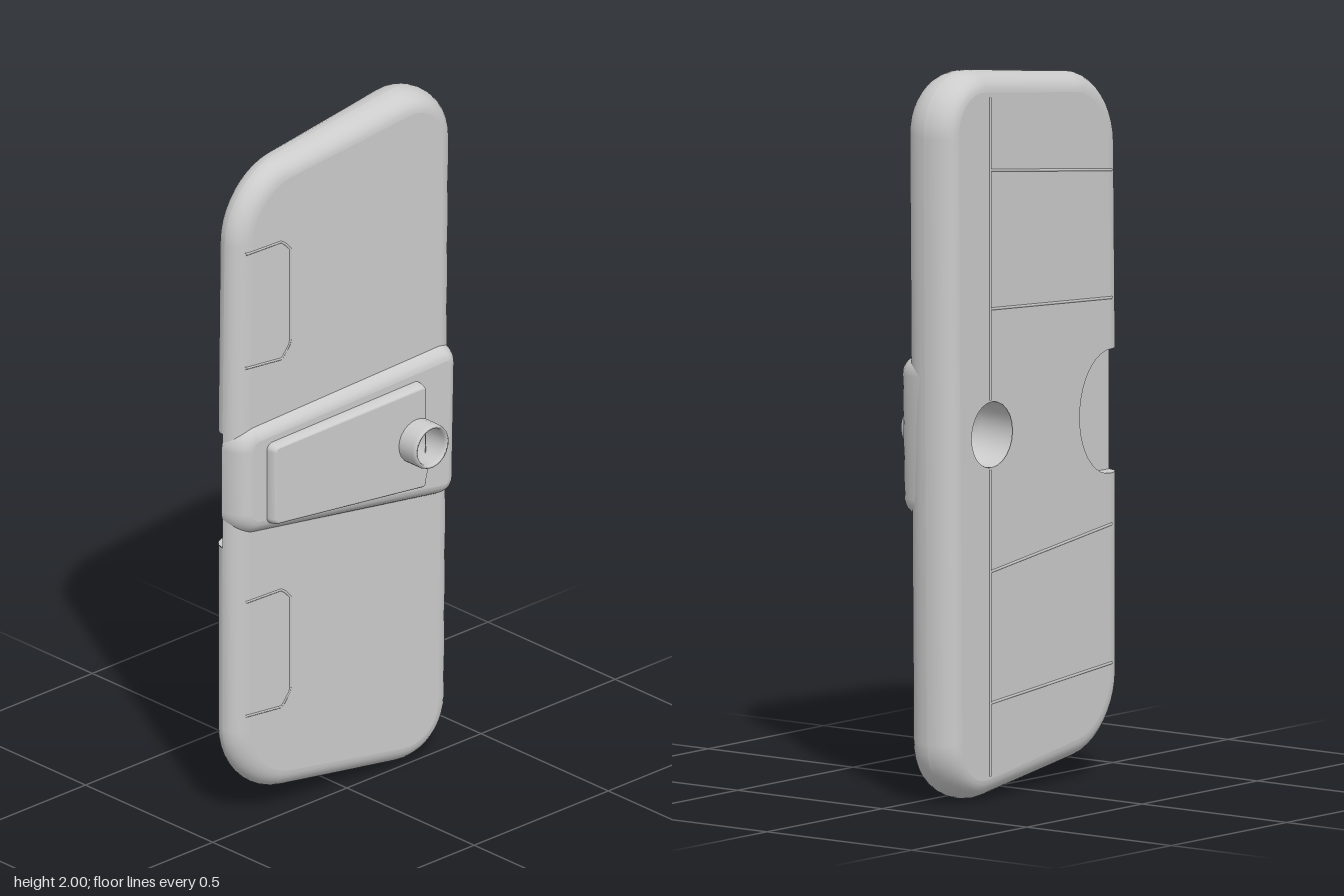
import * as THREE from 'three';

const material = new THREE.MeshStandardMaterial({ color: 0xcccccc });
const thinMaterial = new THREE.MeshStandardMaterial({ color: 0xcccccc, side: THREE.DoubleSide });
const V = (x, y) => new THREE.Vector2(x, y);

// Sloping surfaces: depth as a function of x
const bodyFront = x => 0.05 * x;
const bodyBack = x => -0.128 - 0.035 * x;
const bodyMid = x => (bodyFront(x) + bodyBack(x)) / 2;
const bandFront = x => 0.0265 + 0.0635 * x;
const plateFront = x => 0.0565 + 0.073 * x;
const HOLE = V(0.195, 1.005);
const EDGE = 0.055;

// Round the corners of a counter-clockwise polygon; open paths keep their end points
function rounded(corners, radius, closed) {
  const n = corners.length, out = [];
  corners.forEach((c, i) => {
    if (!closed && (i === 0 || i === n - 1)) return out.push(c);
    const toward = p => p.clone().sub(c).normalize();
    const a = toward(corners[(i + n - 1) % n]), b = toward(corners[(i + 1) % n]);
    const at = (d, s) => c.clone().addScaledVector(d, s * radius);
    out.push(...new THREE.CubicBezierCurve(at(a, 1), at(a, 0.45), at(b, 0.45), at(b, 1)).getPoints(10));
  });
  return out;
}

// Move an outline inwards
function inset(pts, d, closed) {
  const n = pts.length;
  return pts.map((p, i) => {
    const prev = closed || i > 0 ? pts[(i + n - 1) % n] : p;
    const next = closed || i < n - 1 ? pts[(i + 1) % n] : p;
    const t = p.clone().sub(prev).normalize().add(next.clone().sub(p).normalize()).normalize();
    return V(p.x - t.y * d, p.y + t.x * d);
  });
}

// Grid of points (rows of Vector3) to a smooth surface
function surface(rows, closed, flip) {
  const n = rows[0].length, index = [];
  for (let k = 0; k < rows.length - 1; k++)
    for (let i = 0; i < (closed ? n : n - 1); i++) {
      const j = (i + 1) % n, a = k * n + i, b = k * n + j, c = a + n, d = b + n;
      index.push(...(flip ? [a, d, b, a, c, d] : [a, b, d, a, d, c]));
    }
  const g = new THREE.BufferGeometry().setFromPoints(rows.flat());
  g.setIndex(index);
  g.computeVertexNormals();
  return g;
}

// Flat face laid on a sloping surface
function face(pts, z, flip, holeRadius) {
  const shape = new THREE.Shape(pts);
  if (holeRadius) shape.holes.push(new THREE.Path().absarc(HOLE.x, HOLE.y, holeRadius, 0, Math.PI * 2, true));
  const g = new THREE.ShapeGeometry(shape, 20), p = g.attributes.position;
  for (let i = 0; i < p.count; i++) p.setZ(i, z(p.getX(i)));
  if (flip) g.setIndex([...g.index.array].reverse());
  g.computeVertexNormals();
  return g;
}

function add(group, name, geometry, mat = material) {
  const m = new THREE.Mesh(geometry, mat);
  m.name = name;
  group.add(m);
  return m;
}

// Rounded rim plus face, rising from base to top
function dome(group, name, pts, { edge, base, top, holeRadius, closed = true, flip = false, extra = [] }) {
  const part = new THREE.Group();
  part.name = name;
  const rows = [];
  let last;
  for (let k = 0; k <= 8; k++) {
    const a = k / 8 * Math.PI / 2;
    last = inset(pts, edge * (1 - Math.cos(a)), closed);
    rows.push(last.map(p => new THREE.Vector3(p.x, p.y, base(p.x) + (top(p.x) - base(p.x)) * Math.sin(a))));
  }
  add(part, name + 'Rim', surface(rows, closed, flip));
  add(part, name + 'Face', face([...last, ...extra], top, flip, holeRadius));
  group.add(part);
}

// Fine raised seam lying on a surface
function seam(group, name, pts, z) {
  const path = new THREE.CurvePath();
  const v = pts.map(([x, y]) => new THREE.Vector3(x, y, z(x)));
  for (let i = 1; i < v.length; i++) path.add(new THREE.LineCurve3(v[i - 1], v[i]));
  add(group, name, new THREE.TubeGeometry(path, 40, 0.004, 6), material);
}

export function createModel() {
  const model = new THREE.Group();
  model.name = 'slidingPanel';

  // Main slab: front half, and back half with a finger notch in its side
  const outline = rounded([V(-0.4, 0.83), V(-0.4, 0.094), V(0.38, -0.02), V(0.4, 2.024),
    V(-0.39, 1.923), V(-0.4, 1.17)], 0.19, false);
  const arc = [];
  for (let i = 0; i <= 20; i++) {
    const a = Math.PI / 2 - i / 20 * Math.PI;
    arc.push(V(-0.4 + EDGE + 0.14 * Math.cos(a), 1 + 0.17 * Math.sin(a)));
  }
  dome(model, 'bodyFront', outline, { edge: EDGE, base: bodyMid, top: bodyFront, holeRadius: 0.09 });
  dome(model, 'bodyBack', outline, { edge: EDGE, base: bodyMid, top: bodyBack, holeRadius: 0.09,
    closed: false, flip: true, extra: arc });

  // Notch floor and wall; the wall follows the rounded edge of the slab
  const ramp = y => [0, 1, 2, 3, 4, 5, 6, 7].map(i => V(-0.4 + EDGE * i / 8, y));
  const notch = [...ramp(1.17), ...arc, ...ramp(0.83).reverse()];
  const wall = [0, 1].map(k => notch.map(p => {
    const d = Math.min((p.x + 0.4) / EDGE, 1), h = Math.sqrt(1 - (1 - d) ** 2);
    return new THREE.Vector3(p.x, p.y, bodyMid(p.x) + k * h * (bodyBack(p.x) - bodyMid(p.x)));
  }));
  add(model, 'notchWall', surface(wall, false, false), thinMaterial);
  add(model, 'notchFloor', face(notch, bodyMid, false), thinMaterial);

  // Raised band across the front
  const band = rounded([V(-0.405, 0.87), V(0.382, 0.765), V(0.392, 1.245), V(-0.403, 1.195)], 0.07, true);
  dome(model, 'band', band, { edge: 0.05, base: bodyMid, top: bandFront, holeRadius: 0.06 });

  // Tapered plate on the band, with a fine inner border
  const plate = rounded([V(-0.305, 0.895), V(0.235, 0.85), V(0.235, 1.165), V(-0.305, 1.135)], 0.02, true);
  dome(model, 'plate', plate, { edge: 0.012, base: x => bandFront(x) - 0.005, top: plateFront, holeRadius: 0.06 });

  // Hollow knob with its bore running through to the back
  const profile = [[0.09, -0.136], [0.086, -0.03], [0.055, 0.0], [0.052, 0.12], [0.055, 0.13],
    [0.061, 0.13], [0.064, 0.12], [0.064, 0.04]].map(([r, z]) => V(r, z));
  const knob = add(model, 'knob', new THREE.LatheGeometry(profile, 24), thinMaterial);
  knob.rotation.x = Math.PI / 2;
  knob.position.set(HOLE.x, HOLE.y, 0);

  // Faint seams: two brackets on the front, a long line and four cross lines on the back
  [[1.37, 1.71], [0.33, 0.67]].forEach(([lo, hi]) => seam(model, 'frontSeam',
    [[-0.36, lo], [-0.23, lo - 0.01], [-0.2, lo + 0.03], [-0.2, hi - 0.03], [-0.23, hi], [-0.36, hi]],
    x => bodyFront(x) - 0.002));
  const onBack = x => bodyBack(x) + 0.001;
  [[0.07, 0.91], [1.1, 1.93]].forEach(([lo, hi]) => seam(model, 'backSeam', [[0.2, lo], [0.2, hi]], onBack));
  [[1.73, 1.66], [1.35, 1.31], [0.63, 0.69], [0.27, 0.31]].forEach(([a, b]) =>
    seam(model, 'crossSeam', [[0.2, a], [-0.35, b]], onBack));

  return model;
}
